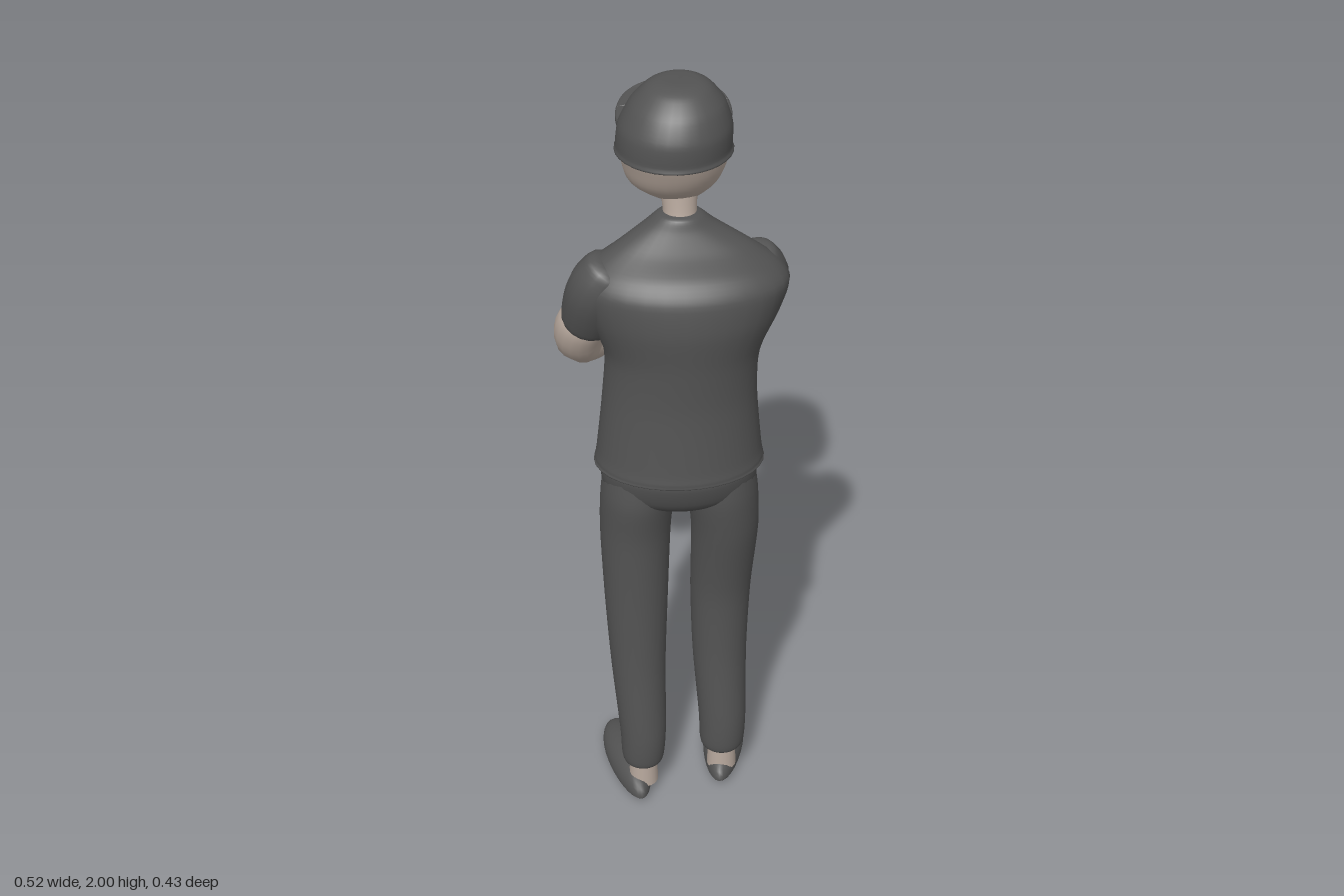
import * as THREE from 'three';
import { mergeVertices } from 'three/addons/utils/BufferGeometryUtils.js';

const mat = (name, color, side = THREE.FrontSide) => {
  const m = new THREE.MeshStandardMaterial({ color, side });
  m.name = name;
  return m;
};

// The figure is turned: SIDE points to its right hand, AHEAD is where it looks
const SIDE = new THREE.Vector3(0.866, 0, 0.5);
const AHEAD = new THREE.Vector3(0.5, 0, -0.866);

// Smooth upright body through elliptical rings [y, centreX, centreZ, halfWidth, halfDepth]
function loft(rings, steps = 5, seg = 32) {
  const spline = (pts) => new THREE.CatmullRomCurve3(pts, false, 'catmullrom', 0.4);
  const centre = spline(rings.map(([y, x, z]) => new THREE.Vector3(x, y, z)));
  const size = spline(rings.map((r) => new THREE.Vector3(r[3], r[4] ?? r[3], 0)));
  const n = (rings.length - 1) * steps;
  const pos = [], idx = [];
  for (let i = 0; i <= n; i++) {
    const c = centre.getPoint(i / n), s = size.getPoint(i / n);
    for (let j = 0; j < seg; j++) {
      const f = (j / seg) * Math.PI * 2;
      const p = c.clone()
        .addScaledVector(SIDE, Math.max(s.x, 0.001) * Math.cos(f))
        .addScaledVector(AHEAD, Math.max(s.y, 0.001) * Math.sin(f));
      pos.push(p.x, p.y, p.z);
      if (i < n) {
        const a = i * seg + j, b = i * seg + (j + 1) % seg;
        idx.push(a, b, a + seg, b, b + seg, a + seg);
      }
    }
  }
  const g = new THREE.BufferGeometry();
  g.setAttribute('position', new THREE.Float32BufferAttribute(pos, 3));
  g.setIndex(idx);
  g.computeVertexNormals();
  return g;
}

// Tube whose radius follows points [x, y, z, radius], rounded off at both ends
function limb(points) {
  const n = 28, seg = 18;
  const curve = new THREE.CatmullRomCurve3(points.map(([x, y, z]) => new THREE.Vector3(x, y, z)));
  const radius = new THREE.SplineCurve(points.map((p, i) => new THREE.Vector2(i, p[3])));
  let g = new THREE.TubeGeometry(curve, n, 1, seg);
  const p = g.attributes.position, v = new THREE.Vector3();
  for (let i = 0; i <= n; i++) {
    const t = i / n, c = curve.getPointAt(t);
    const end = Math.min(1, Math.min(t, 1 - t) / 0.14);
    const r = radius.getPoint(t).y * Math.max(0.01, Math.sqrt(1 - (1 - end) ** 2));
    for (let j = 0; j <= seg; j++) {
      const k = i * (seg + 1) + j;
      v.fromBufferAttribute(p, k).sub(c).multiplyScalar(r).add(c);
      p.setXYZ(k, v.x, v.y, v.z);
    }
  }
  g.deleteAttribute('normal');
  g.deleteAttribute('uv');
  g = mergeVertices(g, 1e-5);
  g.computeVertexNormals();
  return g;
}

// Low shoe from heel to toe, flat below and higher at the ankle
function shoe([hx, hz], [tx, tz]) {
  const len = Math.hypot(tx - hx, tz - hz);
  const g = new THREE.SphereGeometry(1, 28, 18);
  const p = g.attributes.position;
  for (let i = 0; i < p.count; i++) {
    const x = p.getX(i), y = p.getY(i), z = p.getZ(i);
    const top = 0.05 - 0.012 * z;
    p.setXYZ(i, x * (0.053 + 0.008 * z), 0.016 + (y > 0 ? y * top : y * 0.016), z * len / 2);
  }
  g.computeVertexNormals();
  g.rotateY(Math.atan2(tx - hx, tz - hz));
  g.translate((hx + tx) / 2, 0, (hz + tz) / 2);
  return g;
}

// Curved cap peak with a small opening
function peak() {
  const s = new THREE.Shape();
  s.moveTo(-0.12, 0.02);
  s.lineTo(0.12, 0.02);
  s.bezierCurveTo(0.135, 0.1, 0.125, 0.17, 0.1, 0.2);
  s.bezierCurveTo(0.06, 0.255, -0.06, 0.255, -0.1, 0.205);
  s.bezierCurveTo(-0.13, 0.17, -0.135, 0.1, -0.12, 0.02);
  const hole = new THREE.Path();
  hole.absellipse(-0.024, 0.165, 0.024, 0.014, 0, Math.PI * 2, true);
  s.holes.push(hole);
  const g = new THREE.ExtrudeGeometry(s, {
    depth: 0.01, bevelEnabled: true, bevelSize: 0.004, bevelThickness: 0.004, bevelSegments: 2, curveSegments: 14,
  });
  g.rotateX(Math.PI / 2);
  const p = g.attributes.position;
  for (let i = 0; i < p.count; i++) {
    p.setY(i, p.getY(i) - 1.3 * p.getX(i) ** 2 - 0.06 * p.getZ(i));
  }
  g.computeVertexNormals();
  g.rotateY(Math.atan2(0.55, -0.83));
  g.translate(-0.03, 1.905, 0.03);
  return g;
}

export function createModel() {
  const model = new THREE.Group();
  model.name = 'standingFigure';
  const cloth = mat('dark grey cloth', 0x535353);
  const skin = mat('skin', 0xb7a89d);
  const add = (name, geometry, material) => {
    const m = new THREE.Mesh(geometry, material);
    m.name = name;
    model.add(m);
  };

  // Head, neck and cap
  add('head', loft([
    [1.668, 0.028, -0.033, 0.001], [1.675, 0.025, -0.03, 0.035], [1.7, 0.013, -0.025, 0.064],
    [1.75, -0.008, -0.005, 0.104], [1.8, -0.014, 0.008, 0.12], [1.86, -0.024, 0.02, 0.12],
    [1.92, -0.025, 0.03, 0.06],
  ]), skin);
  add('neck', loft([
    [1.62, -0.022, 0.045, 0.045], [1.68, -0.016, 0.035, 0.039], [1.75, -0.01, 0.02, 0.045],
  ]), skin);
  add('cap', loft([
    [1.838, -0.028, 0.03, 0.001], [1.835, -0.028, 0.03, 0.125], [1.85, -0.029, 0.03, 0.131],
    [1.9, -0.027, 0.033, 0.128], [1.95, -0.021, 0.033, 0.107], [1.985, -0.016, 0.03, 0.075],
    [1.998, -0.012, 0.027, 0.045], [2.0, -0.012, 0.027, 0.001],
  ]), cloth);
  add('capPeak', peak(), cloth);

  // Shirt with a slightly flared hem and a low collar
  add('shirt', loft([
    [1.015, -0.02, 0.038, 0.001], [1.005, -0.02, 0.038, 0.19, 0.135], [1.015, -0.02, 0.038, 0.203, 0.148],
    [1.05, -0.02, 0.038, 0.198, 0.144], [1.2, -0.018, 0.038, 0.184, 0.133], [1.32, -0.014, 0.042, 0.184, 0.134],
    [1.42, -0.008, 0.036, 0.225, 0.15], [1.5, -0.011, 0.043, 0.246, 0.132], [1.55, -0.012, 0.045, 0.218, 0.1],
    [1.6, -0.017, 0.05, 0.158, 0.073], [1.65, -0.02, 0.042, 0.085, 0.055], [1.675, -0.02, 0.04, 0.053, 0.046],
    [1.682, -0.02, 0.04, 0.03],
  ]), cloth);

  // Folded arms: sleeves, bare arms and hands
  add('leftSleeve', limb([
    [-0.15, 1.56, -0.02, 0.06], [-0.18, 1.49, -0.05, 0.072], [-0.182, 1.41, -0.085, 0.072], [-0.178, 1.36, -0.11, 0.066],
  ]), cloth);
  add('rightSleeve', limb([
    [0.12, 1.56, 0.105, 0.06], [0.16, 1.49, 0.1, 0.07], [0.178, 1.42, 0.06, 0.069], [0.19, 1.36, 0.03, 0.062],
  ]), cloth);
  add('leftArm', limb([
    [-0.18, 1.42, -0.09, 0.058], [-0.19, 1.34, -0.13, 0.06], [-0.165, 1.29, -0.155, 0.058],
    [-0.06, 1.31, -0.16, 0.052], [0.05, 1.34, -0.145, 0.042], [0.13, 1.36, -0.115, 0.038], [0.18, 1.37, -0.07, 0.03],
  ]), skin);
  add('rightArm', limb([
    [0.18, 1.43, 0.06, 0.056], [0.197, 1.36, 0.025, 0.058], [0.2, 1.305, -0.015, 0.055],
    [0.14, 1.31, -0.08, 0.05], [0.04, 1.35, -0.12, 0.042], [-0.05, 1.37, -0.135, 0.04], [-0.12, 1.37, -0.125, 0.03],
  ]), skin);

  // Trousers
  add('trouserSeat', loft([
    [0.875, -0.02, 0.04, 0.001], [0.885, -0.02, 0.04, 0.09, 0.06], [0.93, -0.02, 0.038, 0.178, 0.115],
    [1.0, -0.02, 0.038, 0.19, 0.138], [1.04, -0.02, 0.038, 0.17, 0.12],
  ]), cloth);
  add('rightTrouserLeg', loft([
    [0.1, 0.07, 0.105, 0.001], [0.098, 0.07, 0.105, 0.045], [0.12, 0.071, 0.104, 0.057], [0.2, 0.074, 0.1, 0.061],
    [0.4, 0.08, 0.075, 0.069], [0.6, 0.084, 0.07, 0.076], [0.8, 0.081, 0.09, 0.083, 0.092],
    [0.92, 0.072, 0.088, 0.088, 0.105], [1.02, 0.065, 0.085, 0.08, 0.1],
  ]), cloth);
  add('leftTrouserLeg', loft([
    [0.1, -0.135, 0.045, 0.001], [0.098, -0.135, 0.045, 0.043], [0.12, -0.135, 0.044, 0.054], [0.2, -0.132, 0.04, 0.059],
    [0.4, -0.126, 0.012, 0.069], [0.6, -0.12, -0.004, 0.079], [0.8, -0.113, -0.016, 0.087, 0.095],
    [0.92, -0.108, -0.012, 0.09, 0.108], [1.02, -0.1, -0.008, 0.083, 0.1],
  ]), cloth);

  // Ankles and shoes
  [['left', -0.135, 0.045, [-0.175, 0.1], [-0.068, -0.203]],
    ['right', 0.07, 0.105, [0.03, 0.155], [0.217, -0.085]]].forEach(([side, x, z, heel, toe]) => {
    const ankle = new THREE.CylinderGeometry(0.034, 0.038, 0.09, 20);
    ankle.translate(x, 0.075, z);
    add(side + 'Ankle', ankle, skin);
    add(side + 'Shoe', shoe(heel, toe), cloth);
  });

  return model;
}
